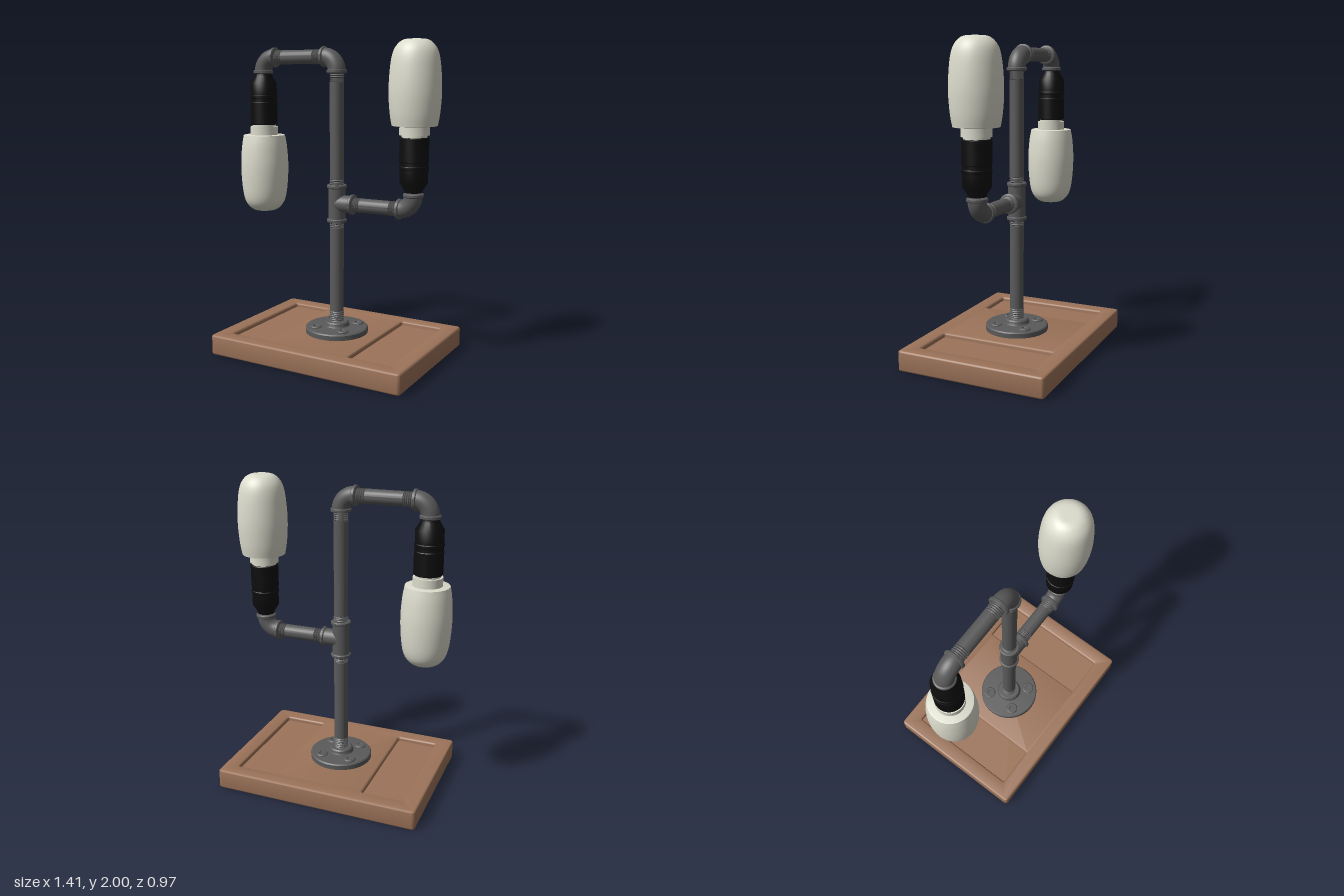
import * as THREE from 'three';
import { toCreasedNormals } from 'three/addons/utils/BufferGeometryUtils.js';

const mat = (name, color) => {
  const m = new THREE.MeshStandardMaterial({ color });
  m.name = name;
  return m;
};

export function createModel() {
  const root = new THREE.Group();
  root.name = 'pipeLamp';
  const wood = mat('wood', 0x9c7359);
  const iron = mat('iron', 0x5a5a5a);
  const black = mat('blackSocket', 0x0d0d0d);
  const glass = mat('bulbGlass', 0xdcdccd);

  const add = (parent, geo, material, name, x = 0, y = 0, z = 0) => {
    const m = new THREE.Mesh(geo, material);
    m.name = name;
    m.position.set(x, y, z);
    parent.add(m);
    return m;
  };
  const group = (name, x, y, rz = 0) => {
    const g = new THREE.Group();
    g.name = name;
    g.position.set(x, y, 0);
    g.rotation.z = rz;
    root.add(g);
    return g;
  };
  // Turned part from [radius, height] pairs, going upward
  const lathe = (pts, seg = 48) => toCreasedNormals(
    new THREE.LatheGeometry(pts.map(([r, y]) => new THREE.Vector2(r, y)), seg), 0.6);

  const PX = 0.01;      // post position
  const TOP = 1.905;    // upper arm height
  const MID = 0.98;     // lower arm height
  const LX = 0.545;     // lamp offset

  // Wooden base: bevelled slab with two rectangular trays
  const rect = (P, x0, x1, z0, z1, r) => {
    const p = new P();
    p.moveTo(x0 + r, z0);
    p.lineTo(x1 - r, z0);
    p.quadraticCurveTo(x1, z0, x1, z0 + r);
    p.lineTo(x1, z1 - r);
    p.quadraticCurveTo(x1, z1, x1 - r, z1);
    p.lineTo(x0 + r, z1);
    p.quadraticCurveTo(x0, z1, x0, z1 - r);
    p.lineTo(x0, z0 + r);
    p.quadraticCurveTo(x0, z0, x0 + r, z0);
    return p;
  };
  const slab = rect(THREE.Shape, -0.655, 0.69, -0.482, 0.485, 0.025);
  slab.holes.push(rect(THREE.Path, -0.55, -0.28, -0.38, 0.385, 0.012));
  slab.holes.push(rect(THREE.Path, 0.302, 0.585, -0.38, 0.385, 0.012));
  const bevel = 0.012;
  const slabGeo = new THREE.ExtrudeGeometry(slab, {
    depth: 0.13 - 2 * bevel, bevelEnabled: true, bevelThickness: bevel,
    bevelSize: bevel, bevelOffset: -bevel, bevelSegments: 3, curveSegments: 5,
  });
  slabGeo.translate(0, 0, bevel).rotateX(-Math.PI / 2);
  add(root, toCreasedNormals(slabGeo, 0.6), wood, 'baseSlab');
  add(root, new THREE.BoxGeometry(1.3, 0.102, 0.92), wood, 'trayFloor', 0.0175, 0.051, 0.0015);

  // Floor flange with hub and four socket screws
  const flange = group('flange', PX, 0.13);
  add(flange, lathe([[0, 0], [0.204, 0], [0.204, 0.03], [0.197, 0.037], [0.085, 0.042],
    [0.08, 0.05], [0.078, 0.064], [0.07, 0.072], [0, 0.072]], 64), iron, 'flangePlate');
  for (const sx of [-1, 1]) for (const sz of [-1, 1]) {
    add(flange, lathe([[0.04, 0.03], [0.04, 0.043], [0.034, 0.048], [0.017, 0.048],
      [0.015, 0.042], [0, 0.042]], 24), iron, 'flangeScrew', sx * 0.099, 0, sz * 0.101);
  }

  // Pipe of given length along +y with threads at both ends
  const pipe = (name, len, x, y, rz, t0, t1) => {
    const pts = [];
    const thread = (from, to) => {
      const n = Math.round((to - from) / 0.012);
      const step = (to - from) / n;
      for (let i = 0; i < n; i++) {
        pts.push([0.041, from + i * step], [0.047, from + (i + 0.5) * step]);
      }
      pts.push([0.041, to]);
    };
    thread(0, t0);
    pts.push([0.045, t0 + 0.002], [0.045, len - t1 - 0.002]);
    thread(len - t1, len);
    add(group(name, x, y, rz), lathe(pts), iron, 'threadedPipe');
  };
  pipe('lowerPost', 0.675, PX, 0.195, 0, 0.075, 0.045);
  pipe('upperPost', 0.73, PX, 1.08, 0, 0.055, 0.06);
  pipe('upperArm', 0.37, -0.085, TOP, Math.PI / 2, 0.065, 0.065);
  pipe('lowerArm', 0.33, 0.125, MID, -Math.PI / 2, 0.06, 0.06);

  // Raised rim on the mouth of a fitting, spanning y to y + 0.024
  const collar = (parent, x, y, rz) => {
    const m = add(parent, lathe([[0, -0.014], [0.05, -0.014], [0.058, -0.012], [0.064, -0.007],
      [0.064, 0.007], [0.058, 0.012], [0, 0.012]]), iron, 'collar', x, y, 0);
    m.rotation.z = rz;
  };

  // Quarter-turn elbow opening toward -x and -y
  class Quarter extends THREE.Curve {
    getPoint(t, target = new THREE.Vector3()) {
      const a = t * Math.PI / 2;
      return target.set(-0.09 + 0.09 * Math.sin(a), -0.09 + 0.09 * Math.cos(a), 0);
    }
  }
  const elbow = (name, x, y, rz) => {
    const g = group(name, x, y, rz);
    add(g, new THREE.TubeGeometry(new Quarter(), 20, 0.056, 32), iron, 'elbowBend');
    collar(g, -0.092, 0, Math.PI / 2);
    collar(g, 0, -0.092, 0);
  };
  elbow('topElbow', PX, TOP, 0);
  elbow('upperArmElbow', -LX - 0.003, TOP, Math.PI / 2);
  elbow('lowerArmElbow', LX - 0.002, MID, -Math.PI / 2);

  // Tee fitting on the post
  const tee = group('tee', PX, MID);
  add(tee, new THREE.CylinderGeometry(0.055, 0.055, 0.21, 48), iron, 'teeBody');
  add(tee, new THREE.CylinderGeometry(0.055, 0.055, 0.11, 48)
    .rotateZ(Math.PI / 2).translate(0.058, 0, 0), iron, 'teeBranch');
  collar(tee, 0, 0.11, 0);
  collar(tee, 0, -0.11, 0);
  collar(tee, 0.115, 0, Math.PI / 2);

  // Lamp holder and bulb, built upward from the elbow mouth
  const bulbCurve = new THREE.SplineCurve([[0.137, 0.402], [0.149, 0.47], [0.157, 0.57],
    [0.157, 0.65], [0.152, 0.73], [0.143, 0.8], [0.128, 0.85], [0.103, 0.885], [0.075, 0.904],
    [0.045, 0.91], [0, 0.91]].map(([r, y]) => new THREE.Vector2(r, y)));
  const bulbPts = bulbCurve.getPoints(36).map((p) => [Math.max(0, p.x), Math.min(p.y, 0.91)]);
  const lamp = (name, x, y, rz) => {
    const g = group(name, x, y, rz);
    add(g, lathe([[0, 0], [0.055, 0], [0.058, 0.015], [0.086, 0.06], [0.086, 0.14], [0.09, 0.144],
      [0.09, 0.158], [0.086, 0.162], [0.086, 0.185], [0.089, 0.189], [0.089, 0.328],
      [0.084, 0.333], [0, 0.333]]), black, 'socket');
    add(g, lathe([[0.078, 0.33], [0.078, 0.346], [0.091, 0.346], [0.091, 0.402]]), glass, 'bulbNeck');
    add(g, lathe([[0, 0.4], [0.13, 0.4], ...bulbPts], 64), glass, 'bulb');
  };
  lamp('leftLamp', LX - 0.002, 1.09, 0);
  lamp('rightLamp', -LX - 0.003, 1.8, Math.PI);

  return root;
}
